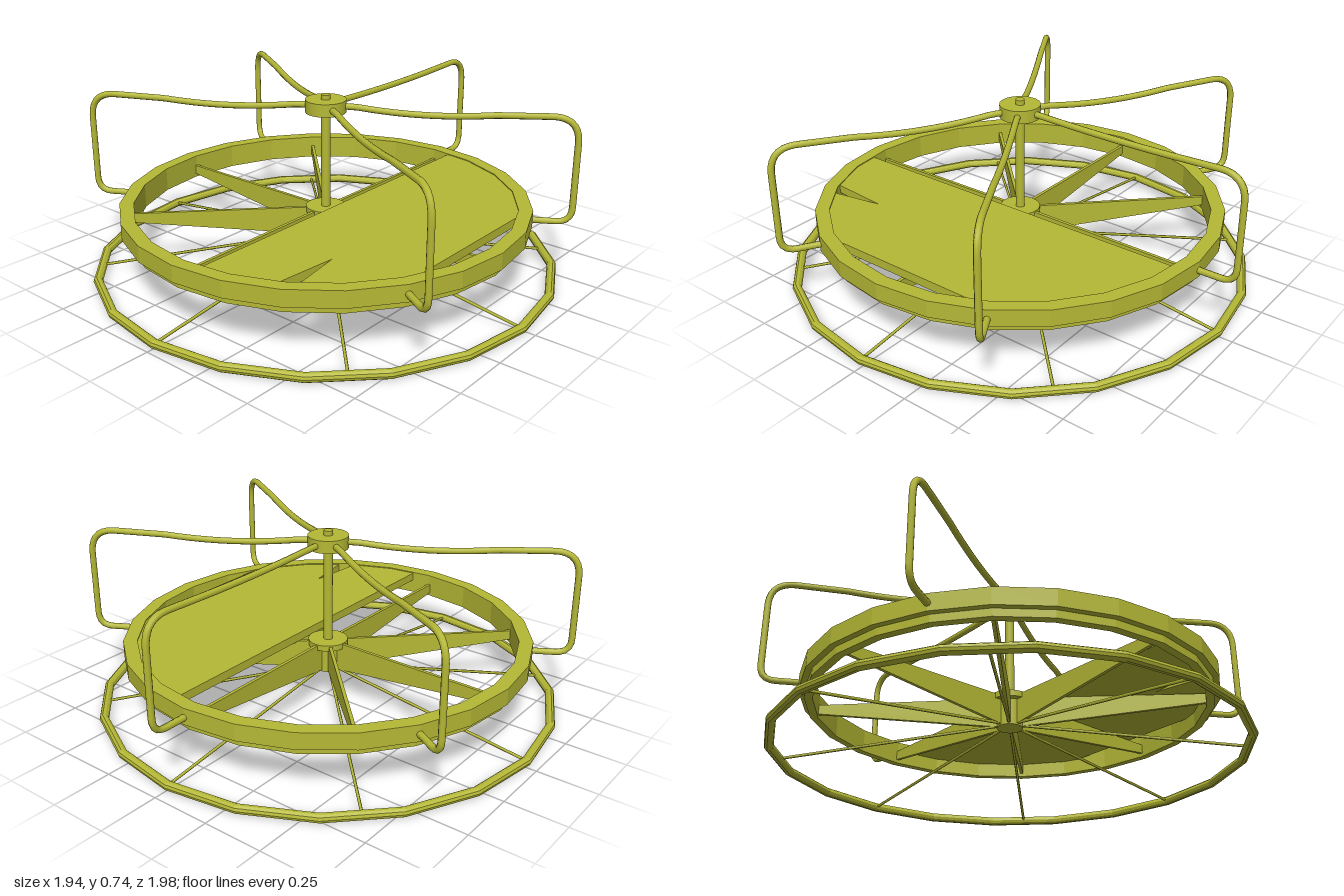
import * as THREE from 'three';

const smooth = new THREE.MeshStandardMaterial({ color: 0xb5b835 });
const faceted = new THREE.MeshStandardMaterial({ color: 0xb5b835, flatShading: true });

function addMesh(parent, name, geometry, material = smooth) {
  const mesh = new THREE.Mesh(geometry, material);
  mesh.name = name;
  parent.add(mesh);
  return mesh;
}

// Upright cylinder between two heights
function post(parent, name, radius, y0, y1, sides = 24) {
  const geometry = new THREE.CylinderGeometry(radius, radius, y1 - y0, sides);
  addMesh(parent, name, geometry.translate(0, (y0 + y1) / 2, 0));
}

// Bent handrail in the x-y plane, from the top hub out and down to the rim
function handrailGeometry(dipY) {
  const p = (x, y) => new THREE.Vector3(x, y, 0);
  const path = new THREE.CurvePath();
  const line = (a, b) => path.add(new THREE.LineCurve3(a, b));
  const bend = (a, b, c) => path.add(new THREE.QuadraticBezierCurve3(a, b, c));
  line(p(0.05, 0.694), p(0.13, 0.692));
  bend(p(0.13, 0.692), p(0.4, dipY - 0.008), p(0.68, 0.688));
  line(p(0.68, 0.688), p(0.9, 0.695));
  bend(p(0.9, 0.695), p(1.002, 0.695), p(1.002, 0.59));
  line(p(1.002, 0.59), p(1.002, 0.32));
  bend(p(1.002, 0.32), p(1.002, 0.257), p(0.94, 0.257));
  line(p(0.94, 0.257), p(0.83, 0.257));
  return new THREE.TubeGeometry(path, 70, 0.0135, 8);
}

export function createModel() {
  const model = new THREE.Group();
  model.name = 'merryGoRound';
  const body = new THREE.Group();
  body.name = 'carousel';
  body.position.z = 0.015;
  model.add(body);

  // Ground ring
  const ring = new THREE.TorusGeometry(0.95, 0.019, 10, 20);
  addMesh(body, 'groundRing', ring.rotateX(Math.PI / 2).translate(0, 0.019, 0), faceted);

  // Stepped rim
  const rim = [[0.792, 0.195], [0.825, 0.195], [0.825, 0.226], [0.85, 0.226],
    [0.85, 0.295], [0.792, 0.295], [0.792, 0.195]].map(([x, y]) => new THREE.Vector2(x, y));
  addMesh(body, 'rim', new THREE.LatheGeometry(rim, 24), faceted);

  // Centre column
  post(body, 'lowerHub', 0.053, 0.125, 0.24);
  post(body, 'lowerFlange', 0.083, 0.235, 0.26);
  post(body, 'column', 0.019, 0.2, 0.74, 16);
  post(body, 'topHub', 0.084, 0.667, 0.72);

  // Tapered support blades and thin ground spokes
  const bladeShape = new THREE.Shape([[0.04, 0.13], [0.805, 0.212], [0.805, 0.25], [0.04, 0.255]]
    .map(([x, y]) => new THREE.Vector2(x, y)));
  const blade = new THREE.ExtrudeGeometry(bladeShape, { depth: 0.014, bevelEnabled: false });
  blade.translate(0, 0, -0.007);
  const spoke = new THREE.TubeGeometry(
    new THREE.LineCurve3(new THREE.Vector3(0.03, 0.138, 0), new THREE.Vector3(0.95, 0.02, 0)), 1, 0.006, 6);
  for (let i = 0; i < 8; i++) {
    const angle = i * Math.PI / 4;
    addMesh(body, 'supportBlade', blade).rotation.y = angle;
    addMesh(body, 'groundSpoke', spoke).rotation.y = angle;
  }

  // Deck segment with a narrow notch at the front
  const deckShape = new THREE.Shape([
    [0.085, -0.789], [0.207, -0.773], [0.377, -0.703], [0.4, -0.435], [0.44, -0.662],
    [0.566, -0.566], [0.693, -0.4], [0.715, -0.347], [0.715, 0.347], [0.693, 0.4],
    [0.566, 0.566], [0.4, 0.693], [0.207, 0.773], [0.085, 0.789],
  ].map(([x, y]) => new THREE.Vector2(x, y)));
  const deck = new THREE.ExtrudeGeometry(deckShape, { depth: 0.036, bevelEnabled: false });
  addMesh(body, 'deck', deck.rotateX(-Math.PI / 2).translate(0, 0.255, 0));

  // Five handrails, leaving the front open
  for (const degrees of [-30, 30, 90, 150, 210]) {
    const rail = handrailGeometry(degrees === 90 ? 0.69 : 0.665);
    const handrail = new THREE.Group();
    handrail.name = 'handrail';
    handrail.rotation.y = THREE.MathUtils.degToRad(degrees);
    addMesh(handrail, 'railTube', rail);
    // Rounded foot where the rail meets the rim
    addMesh(handrail, 'railFoot', new THREE.SphereGeometry(0.0135, 8, 6).translate(0.83, 0.257, 0));
    body.add(handrail);
  }

  return model;
}
